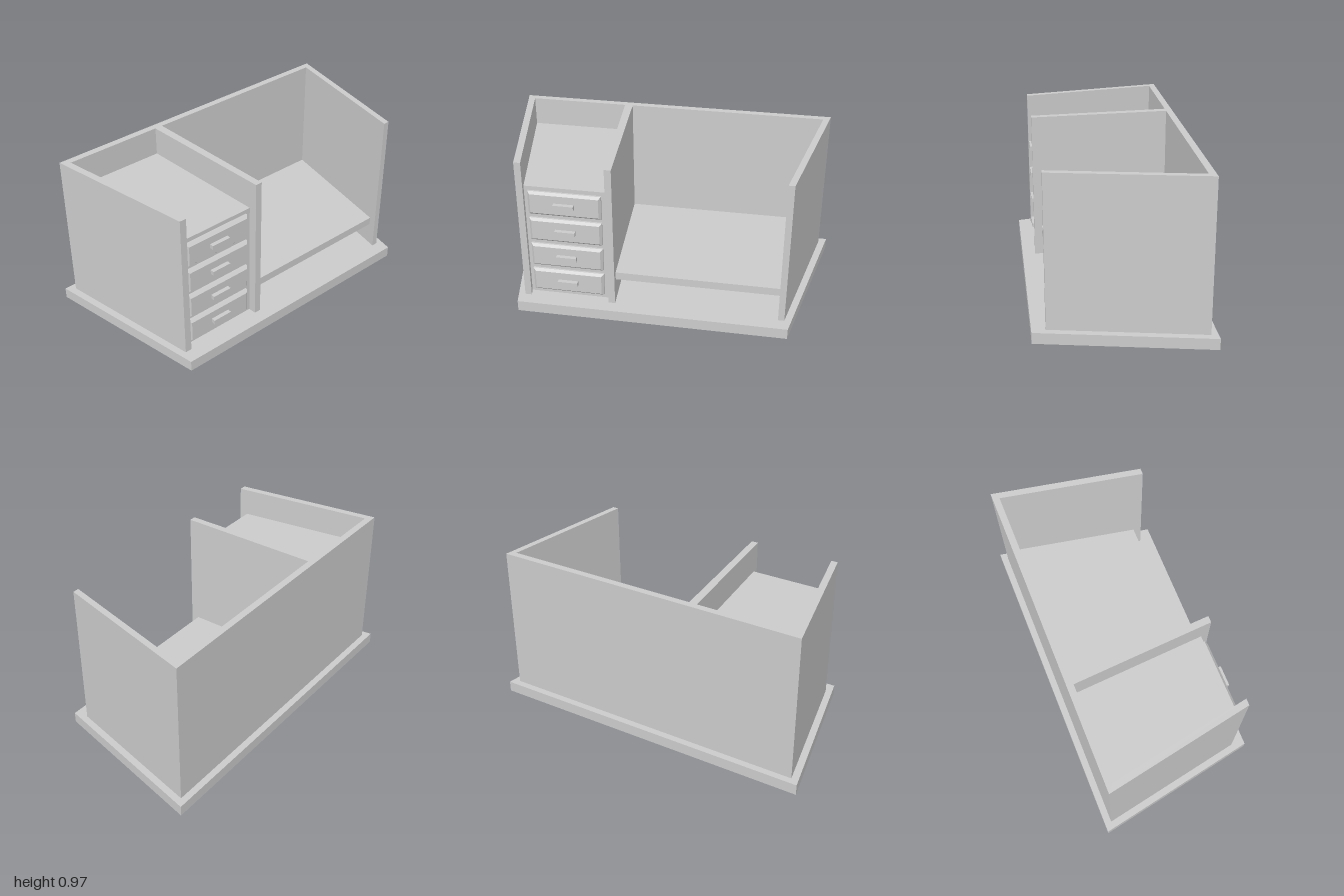
import * as THREE from 'three';

const material = new THREE.MeshStandardMaterial({ color: 0xcccccc, flatShading: true });

function addMesh(parent, name, geometry) {
  const mesh = new THREE.Mesh(geometry, material);
  mesh.name = name;
  parent.add(mesh);
  return mesh;
}

// Upright prism from a plan outline of [x, z] points
function prism(plan, bottom, top) {
  const shape = new THREE.Shape(plan.map(([x, z]) => new THREE.Vector2(x, -z)));
  const geometry = new THREE.ExtrudeGeometry(shape, { depth: top - bottom, bevelEnabled: false });
  return geometry.rotateX(-Math.PI / 2).translate(0, bottom, 0);
}

// Drawer panel facing +x with a chamfered front edge
function drawerPanel(width, height) {
  const bevel = 0.014;
  const w = width / 2 - bevel, h = height / 2 - bevel;
  const shape = new THREE.Shape([[-w, -h], [w, -h], [w, h], [-w, h]].map(p => new THREE.Vector2(...p)));
  // the chamfer is at both ends; the rear one is sunk into the cabinet
  const geometry = new THREE.ExtrudeGeometry(shape, {
    depth: 0.025, bevelEnabled: true, bevelSegments: 1, bevelSize: bevel, bevelThickness: bevel,
  });
  return geometry.rotateY(Math.PI / 2).translate(-0.039, 0, 0);
}

export function createModel() {
  const model = new THREE.Group();
  model.name = 'desk';
  const floor = 0.067, wallTop = 0.973;

  // Tapered base slab
  addMesh(model, 'base', prism([[-0.5, -1], [0.5, -0.807], [0.5, 0.807], [-0.5, 1]], 0, floor));

  // Back wall, two splayed side walls and the divider as one outline
  addMesh(model, 'walls', prism([
    [-0.46, -0.95], [0.42, -0.782], [0.42, -0.745], [-0.42, -0.905],
    [-0.42, 0.272], [0.42, 0.226], [0.42, 0.266], [-0.42, 0.32],
    [-0.42, 0.902], [0.42, 0.742], [0.42, 0.782], [-0.46, 0.95],
  ], floor, wallTop));

  // Low shelf in the wide bay
  addMesh(model, 'shelf', prism([
    [-0.42, -0.905], [0.372, -0.754], [0.372, 0.229], [-0.42, 0.272],
  ], 0.208, 0.257));

  // Drawer cabinet in the narrow bay
  addMesh(model, 'cabinet', prism([
    [-0.42, 0.32], [0.372, 0.269], [0.372, 0.751], [-0.42, 0.902],
  ], floor, 0.8));

  // Four drawers with block handles
  for (let i = 0; i < 4; i++) {
    const drawer = new THREE.Group();
    drawer.name = `drawer${i + 1}`;
    drawer.position.set(0.398, 0.169 + i * 0.177, 0.513);
    addMesh(drawer, 'drawerFront', drawerPanel(0.43, 0.15));
    addMesh(drawer, 'handle', new THREE.BoxGeometry(0.026, 0.026, 0.12)).position.set(0.012, 0.001, 0);
    model.add(drawer);
  }
  return model;
}
